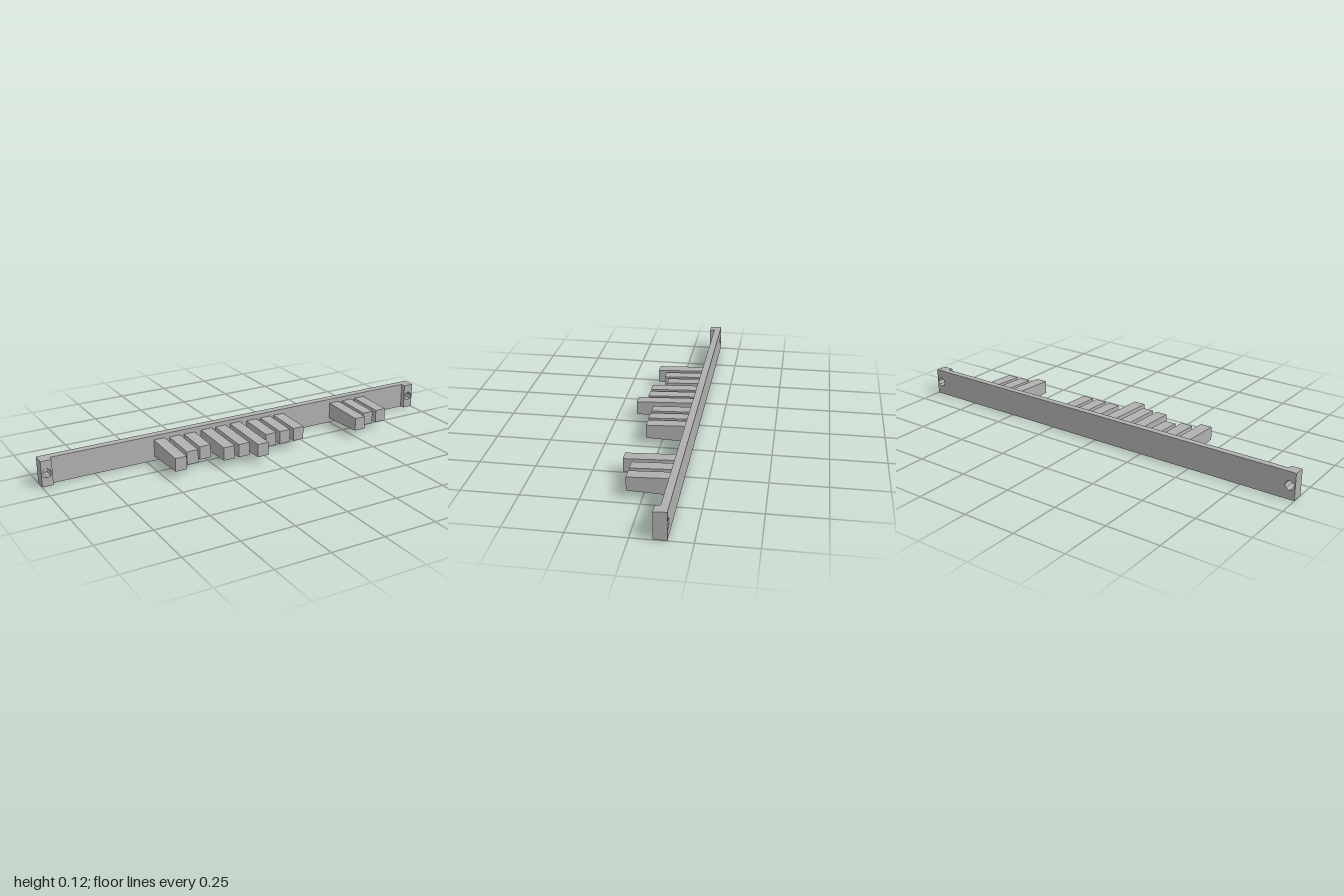
import * as THREE from 'three';

const MID_Y = 0.0635;
const BACK_Z = -0.148;
const PLATE_Z = -0.115;
const TAB_Z = -0.092;

// Vertical slab in the xy plane with round screw holes, drafted towards the front
function slab(x0, x1, z0, z1, holes) {
  const h = 0.0625;
  const shape = new THREE.Shape();
  shape.moveTo(x0, -h);
  shape.lineTo(x1, -h);
  shape.lineTo(x1, h);
  shape.lineTo(x0, h);
  shape.closePath();
  for (const x of holes) {
    shape.holes.push(new THREE.Path().absarc(x, 0, 0.022, 0, Math.PI * 2, true));
  }
  const geo = new THREE.ExtrudeGeometry(shape, { depth: z1 - z0, bevelEnabled: false, curveSegments: 4 });
  const p = geo.attributes.position;
  for (let i = 0; i < p.count; i++) {
    const z = p.getZ(i) + z0;
    const k = 1 - (z - BACK_Z) * 0.8;
    p.setXYZ(i, p.getX(i), MID_Y + p.getY(i) * k, z);
  }
  geo.computeVertexNormals();
  return geo;
}

// Tooth whose height grows from its tip to its root
function tooth(x, tipZ) {
  const tip = 0.031, depth = tipZ - PLATE_Z;
  const root = tip + depth * 0.04;
  const geo = new THREE.BoxGeometry(0.055, 2, depth);
  const p = geo.attributes.position;
  for (let i = 0; i < p.count; i++) {
    const half = p.getZ(i) > 0 ? tip : root;
    p.setXYZ(i, x + p.getX(i), 0.064 + p.getY(i) * half, p.getZ(i) + (tipZ + PLATE_Z) / 2);
  }
  geo.computeVertexNormals();
  return geo;
}

export function createModel() {
  const group = new THREE.Group();
  const grey = new THREE.MeshStandardMaterial({ color: 0xb0b0b0 });
  grey.name = 'plain grey';
  const add = (geo, name) => {
    const mesh = new THREE.Mesh(geo, grey);
    mesh.name = name;
    group.add(mesh);
  };

  // Long backing bar with a raised pad at each end
  add(slab(-1, 1, BACK_Z, PLATE_Z, [-0.975, 0.975]), 'backingBar');
  add(slab(-1, -0.95, PLATE_Z, TAB_Z, [-0.975]), 'rightEndPad');
  add(slab(0.95, 1, PLATE_Z, TAB_Z, [0.975]), 'leftEndPad');

  // Teeth: centre x and tip z
  const teeth = [
    [-0.435, 0.107], [-0.358, 0.066], [-0.283, 0.043],
    [-0.195, 0.107], [-0.119, 0.107], [-0.043, 0.15],
    [0.048, 0.066], [0.123, 0.066], [0.198, 0.066],
    [0.525, 0.107], [0.601, 0.066], [0.677, 0.066],
  ];
  teeth.forEach(([x, z], i) => add(tooth(x, z), `tooth${i + 1}`));
  return group;
}
